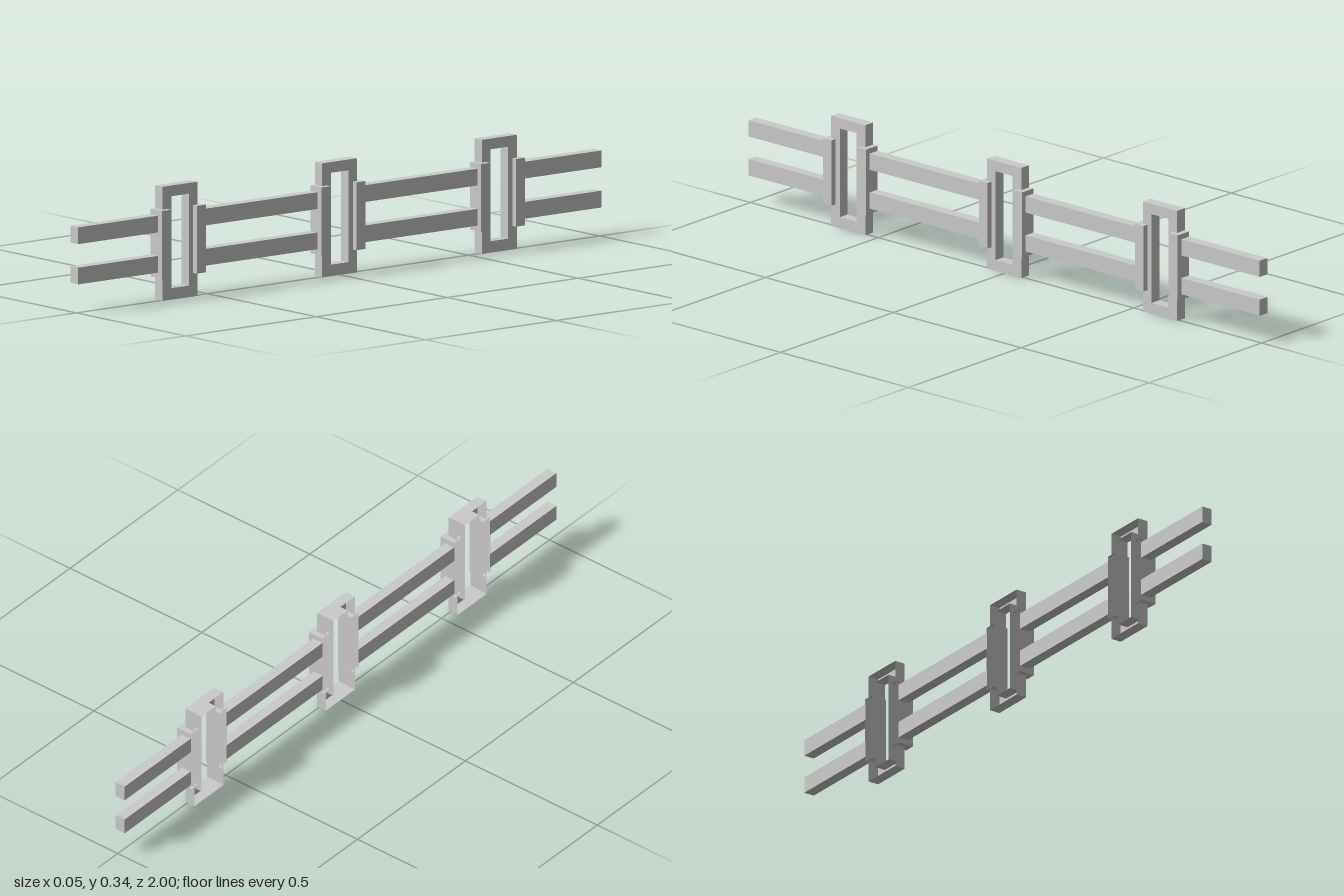
import * as THREE from 'three';

const BACK = -0.026; // common back plane (x) of every part
const SPACING = 0.61; // distance between brackets along z

const rect = (Type, z0, z1, y0, y1) => new Type([
  new THREE.Vector2(z0, y0), new THREE.Vector2(z1, y0),
  new THREE.Vector2(z1, y1), new THREE.Vector2(z0, y1),
]);

// Extrude a profile towards +x and leave its back open, like a folded shell
function openBackShell(shape, depth) {
  const solid = new THREE.ExtrudeGeometry(shape, { depth, bevelEnabled: false });
  const p = solid.attributes.position;
  const kept = [];
  for (let i = 0; i < p.count; i += 3) {
    if ([0, 1, 2].every((k) => p.getZ(i + k) < 1e-6)) continue;
    for (let k = 0; k < 3; k++) kept.push(p.getX(i + k), p.getY(i + k), p.getZ(i + k));
  }
  const shell = new THREE.BufferGeometry();
  shell.setAttribute('position', new THREE.Float32BufferAttribute(kept, 3));
  shell.computeVertexNormals();
  return shell.rotateY(Math.PI / 2).translate(BACK, 0, 0);
}

export function createModel() {
  const group = new THREE.Group();
  const material = new THREE.MeshStandardMaterial({
    color: 0xcccccc, flatShading: true, side: THREE.DoubleSide,
  });
  const add = (parent, geometry, name) => {
    const mesh = new THREE.Mesh(geometry, material);
    mesh.name = name;
    parent.add(mesh);
    return mesh;
  };

  // Brackets: a tall window frame with a raised clip on each side
  const frameShape = rect(THREE.Shape, -0.067, 0.067, 0, 0.34);
  frameShape.holes.push(rect(THREE.Path, -0.033, 0.033, 0.034, 0.308));
  const frameGeometry = openBackShell(frameShape, 0.034);
  const clipGeometry = openBackShell(rect(THREE.Shape, -0.017, 0.017, 0.07, 0.272), 0.051);
  for (const z of [-SPACING, 0, SPACING]) {
    const bracket = new THREE.Group();
    bracket.name = 'bracket';
    bracket.position.z = z;
    add(bracket, frameGeometry, 'frame');
    for (const side of [-1, 1]) add(bracket, clipGeometry, 'sideClip').position.z = side * 0.067;
    group.add(bracket);
  }

  // Rails: upper and lower bars running from clip to clip and out to the ends
  const reach = 0.083;
  const spans = [
    [-1, -SPACING - reach], [-SPACING + reach, -reach],
    [reach, SPACING - reach], [SPACING + reach, 1],
  ];
  for (const [name, y] of [['lowerRail', 0.111], ['upperRail', 0.231]]) {
    for (const [z0, z1] of spans) {
      const rail = add(group, new THREE.BoxGeometry(0.034, 0.05, z1 - z0), name);
      rail.position.set(BACK + 0.017, y, (z0 + z1) / 2);
    }
  }
  return group;
}
